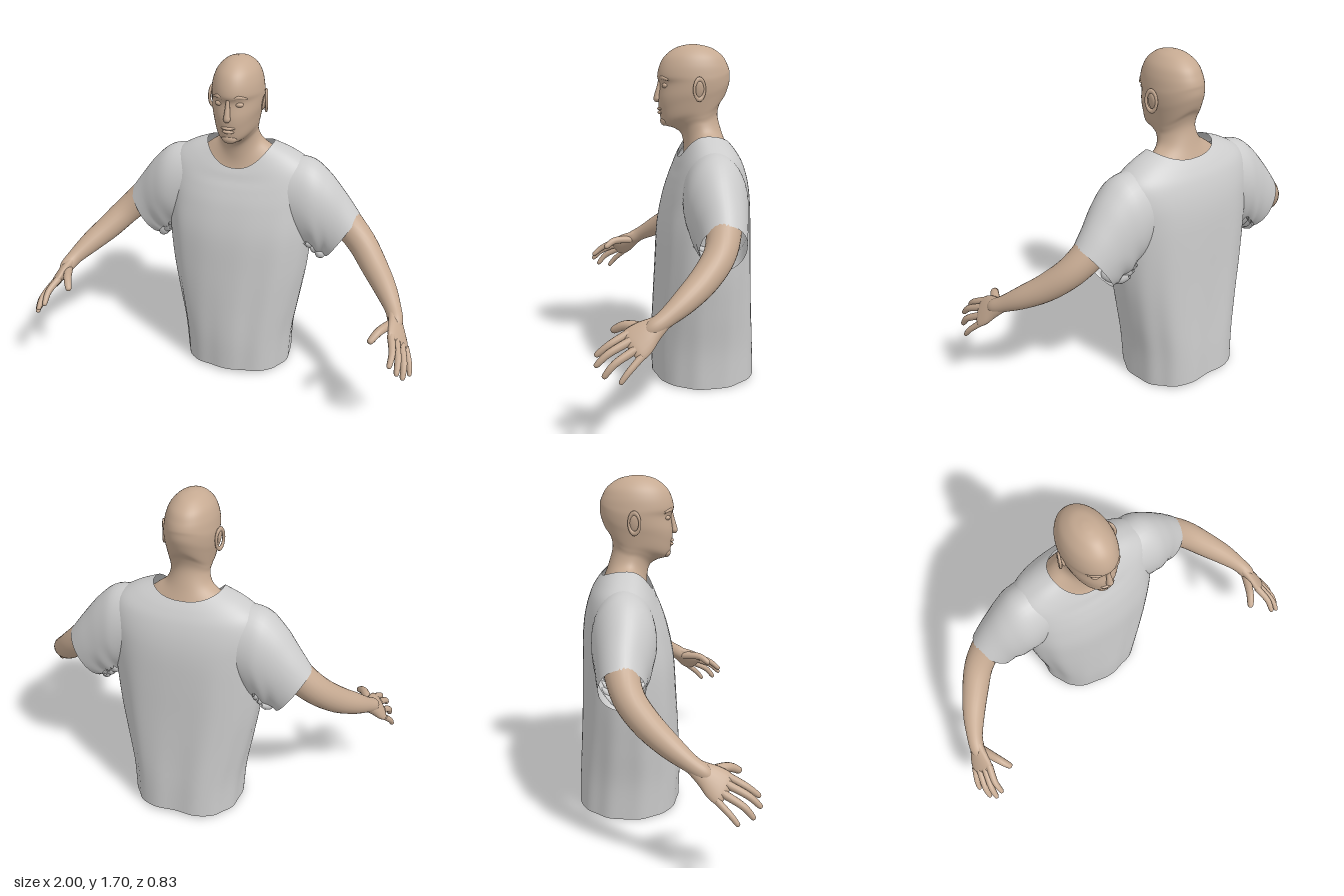
import * as THREE from 'three';

const skin = new THREE.MeshStandardMaterial({ color: 0xc6aa92, side: THREE.DoubleSide });
const cloth = new THREE.MeshStandardMaterial({ color: 0xcccccc, side: THREE.DoubleSide });

// Smoothly interpolate rows of section parameters
function dense(rows, steps) {
  const out = [];
  const at = i => rows[Math.max(0, Math.min(rows.length - 1, i))];
  for (let i = 0; i < rows.length - 1; i++) {
    for (let s = 0; s < steps; s++) {
      const t = s / steps;
      out.push(rows[i].map((b, k) => {
        const a = at(i - 1)[k], c = at(i + 1)[k], d = at(i + 2)[k];
        return b + 0.5 * t * (c - a + t * (2 * a - 5 * b + 4 * c - d + t * (3 * (b - c) + d - a)));
      }));
    }
  }
  out.push(rows[rows.length - 1]);
  return out;
}

// Closed-ring surface; point(row, rowIndex, angle) gives each vertex
function skinRings(name, material, rows, segs, point) {
  const pos = [], index = [];
  rows.forEach((row, i) => {
    for (let j = 0; j < segs; j++) {
      pos.push(...point(row, i, (j / segs) * Math.PI * 2));
      if (i === rows.length - 1) continue;
      const a = i * segs + j, b = i * segs + (j + 1) % segs;
      index.push(a, a + segs, b, b, a + segs, b + segs);
    }
  });
  const g = new THREE.BufferGeometry();
  g.setAttribute('position', new THREE.Float32BufferAttribute(pos, 3));
  g.setIndex(index);
  g.computeVertexNormals();
  const mesh = new THREE.Mesh(g, material);
  mesh.name = name;
  return mesh;
}

// Upright body from rows [halfWidth, zFront, zBack, yFront, ySide, yBack]
function body(name, material, rows, segs, power, fold = () => 0) {
  return skinRings(name, material, dense(rows, 6), segs, ([w, zf, zb, yf, ys, yb], i, a) => {
    const c = Math.cos(a), s = Math.sin(a);
    const bend = v => Math.sign(v) * Math.abs(v) ** power;
    const y = ys + ((s > 0 ? yf : yb) - ys) * s * s;
    const f = 1 + fold(a, y);
    return [w * bend(c) * f, y, (zf + zb) / 2 + (zf - zb) / 2 * bend(s) * f];
  });
}

// Limb from rows [x,y,z,radius] or [x,y,z, ux,uy,uz, thickness] (u = half-width vector)
function limb(name, material, rows, side = 1, segs = 16, ripple = () => 0) {
  const d = dense(rows, 5);
  const centre = r => new THREE.Vector3(r[0] * side, r[1], r[2]);
  return skinRings(name, material, d, segs, (r, i, a) => {
    const t = centre(d[Math.min(i + 1, d.length - 1)]).sub(centre(d[Math.max(i - 1, 0)])).normalize();
    const flat = r.length === 7;
    const u = flat ? new THREE.Vector3(r[3] * side, r[4], r[5])
      : new THREE.Vector3(side, 0, 0).cross(t).setLength(r[3]);
    const v = u.clone().cross(t).setLength(flat ? r[6] : r[3]);
    const k = 1 + ripple(a, i / (d.length - 1));
    return centre(r).addScaledVector(u, Math.cos(a) * k).addScaledVector(v, Math.sin(a) * k).toArray();
  });
}

function ball(name, position, scale, rz = 0) {
  const m = new THREE.Mesh(new THREE.SphereGeometry(1, 20, 14), skin);
  m.name = name;
  m.position.set(...position);
  m.scale.set(...scale);
  m.rotation.z = rz;
  return m;
}

export function createModel() {
  const model = new THREE.Group();
  model.name = 'figure';

  // Torso, neck and bald head in one skin
  model.add(body('torsoAndHead', skin, [
    [0.235, 0.05, -0.35, 0.09, 0.09, 0.09],
    [0.25, 0.06, -0.34, 0.3, 0.3, 0.3],
    [0.28, 0.05, -0.33, 0.6, 0.6, 0.6],
    [0.32, 0.03, -0.34, 0.9, 0.9, 0.9],
    [0.31, 0, -0.33, 1.03, 1.06, 1.04],
    [0.25, -0.025, -0.3, 1.09, 1.16, 1.13],
    [0.165, -0.045, -0.27, 1.14, 1.235, 1.2],
    [0.112, -0.05, -0.24, 1.2, 1.275, 1.28],
    [0.094, -0.038, -0.22, 1.265, 1.32, 1.36],
    [0.097, 0.0, -0.232, 1.295, 1.35, 1.42],
    [0.104, 0.055, -0.258, 1.315, 1.38, 1.46],
    [0.114, 0.073, -0.273, 1.38, 1.43, 1.5],
    [0.122, 0.078, -0.28, 1.44, 1.47, 1.53],
    [0.126, 0.07, -0.28, 1.51, 1.52, 1.56],
    [0.125, 0.083, -0.279, 1.55, 1.555, 1.58],
    [0.117, 0.072, -0.268, 1.605, 1.605, 1.61],
    [0.098, 0.045, -0.243, 1.652, 1.652, 1.652],
    [0.062, -0.005, -0.19, 1.69, 1.69, 1.69],
    [0.025, -0.06, -0.13, 1.706, 1.706, 1.706],
    [0.001, -0.095, -0.097, 1.709, 1.709, 1.709],
  ], 48, 1));

  // Face
  model.add(limb('nose', skin, [[0, 1.535, 0.07, 0.008], [0, 1.5, 0.075, 0.011], [0, 1.46, 0.083, 0.015],
    [0, 1.438, 0.084, 0.017], [0, 1.428, 0.075, 0.004]]));
  model.add(ball('upperLip', [0, 1.391, 0.068], [0.036, 0.009, 0.016]));
  model.add(ball('lowerLip', [0, 1.373, 0.066], [0.03, 0.01, 0.016]));
  model.add(ball('chin', [0, 1.332, 0.045], [0.04, 0.026, 0.024]));

  // Shirt body, open at neck and hem, with soft vertical folds
  model.add(body('shirtBody', cloth, [
    [0.285, 0.11, -0.41, 0.025, 0.008, 0.03],
    [0.297, 0.115, -0.405, 0.2, 0.2, 0.2],
    [0.33, 0.108, -0.395, 0.4, 0.4, 0.4],
    [0.362, 0.098, -0.387, 0.6, 0.6, 0.6],
    [0.38, 0.085, -0.382, 0.8, 0.8, 0.8],
    [0.385, 0.055, -0.375, 0.95, 0.95, 0.95],
    [0.385, 0.025, -0.36, 1.04, 1.07, 1.05],
    [0.355, 0.003, -0.335, 1.09, 1.165, 1.13],
    [0.27, -0.01, -0.305, 1.125, 1.225, 1.185],
    [0.172, -0.022, -0.275, 1.15, 1.265, 1.225],
  ], 96, 0.85, (a, y) => {
    const drop = THREE.MathUtils.clamp((1.1 - y) / 0.8, 0, 1);
    return drop * (Math.sin(a) < 0 ? -0.035 * Math.cos(6 * (a + Math.PI / 2)) * Math.sin(a) ** 2
      : 0.012 * Math.sin(9 * a)) + drop * 0.008 * Math.sin(13 * a + 3 * y);
  }));

  for (const side of [1, -1]) {
    const part = new THREE.Group();
    part.name = side > 0 ? 'leftSide' : 'rightSide';
    model.add(part);

    // Eye, brow and ear
    part.add(ball('eye', [side * 0.047, 1.508, 0.046], [0.024, 0.014, 0.018]));
    part.add(limb('brow', skin, [[0.018, 1.535, 0.07, 0.006], [0.05, 1.547, 0.063, 0.01],
      [0.085, 1.535, 0.035, 0.005]].map(([x, y, z, r]) => [x, y, z, 0, r, 0, r]), side, 10));
    part.add(ball('ear', [side * 0.13, 1.487, -0.108], [0.01, 0.047, 0.027], -side * 0.2));
    const rim = new THREE.Mesh(new THREE.TorusGeometry(0.028, 0.007, 8, 24), skin);
    rim.name = 'earRim';
    rim.scale.y = 1.75;
    rim.position.set(side * 0.138, 1.492, -0.112);
    rim.rotation.set(0, side * (Math.PI / 2 + 0.35), 0);
    part.add(rim);

    // Wide sleeve, open at the cuff, gathered underneath
    part.add(limb('sleeve', cloth, [
      [0.27, 0.99, -0.165, -0.02, 0.215, 0, 0.15],
      [0.365, 0.955, -0.165, 0.01, 0.235, 0, 0.155],
      [0.435, 0.905, -0.17, 0.03, 0.215, 0, 0.14],
      [0.495, 0.845, -0.175, 0.055, 0.17, 0, 0.122],
      [0.545, 0.787, -0.175, 0.08, 0.125, 0, 0.11],
    ], side, 40, (a, t) => {
      const under = Math.max(0, -Math.cos(a));
      return under * 0.05 * Math.sin(t * 16 + 3 * a) * Math.sin(Math.PI * t);
    }));
    // Bunched cloth in the armpit
    for (let k = 0; k < 3; k++) {
      part.add(limb('armpitFold', cloth, [
        [0.37 + k * 0.025, 0.77 - k * 0.025, -0.06 - k * 0.02, 0.008],
        [0.39 + k * 0.025, 0.735 - k * 0.025, -0.13, 0.026],
        [0.38 + k * 0.025, 0.735 - k * 0.02, -0.22, 0.024],
        [0.37 + k * 0.02, 0.78 - k * 0.025, -0.28, 0.008],
      ], side, 10));
    }

    // Arm
    part.add(limb('arm', skin, [
      [0.3, 1.07, -0.17, 0.09], [0.47, 0.95, -0.18, 0.09], [0.57, 0.855, -0.17, 0.08],
      [0.655, 0.775, -0.135, 0.073], [0.735, 0.695, -0.06, 0.067], [0.81, 0.628, 0.03, 0.056],
      [0.865, 0.573, 0.115, 0.041], [0.888, 0.54, 0.17, 0.037], [0.895, 0.52, 0.2, 0.025],
    ], side, 24));

    // Hand
    part.add(limb('palm', skin, [
      [0.87, 0.565, 0.12, 0.02, -0.03, -0.012, 0.03], [0.888, 0.535, 0.165, 0.026, -0.04, -0.018, 0.029],
      [0.905, 0.505, 0.21, 0.038, -0.053, -0.028, 0.027], [0.918, 0.478, 0.255, 0.043, -0.052, -0.036, 0.022],
      [0.923, 0.468, 0.275, 0.03, -0.036, -0.026, 0.012], [0.925, 0.465, 0.28, 0.002, -0.003, -0.002, 0.002],
    ], side, 20));
    const fingers = {
      indexFinger: [[0.884, 0.518, 0.275], [0.905, 0.478, 0.355], [0.902, 0.428, 0.418]],
      middleFinger: [[0.91, 0.493, 0.27], [0.935, 0.45, 0.36], [0.94, 0.395, 0.42]],
      ringFinger: [[0.935, 0.463, 0.25], [0.962, 0.415, 0.335], [0.967, 0.355, 0.387]],
      littleFinger: [[0.953, 0.438, 0.225], [0.982, 0.385, 0.28], [0.993, 0.337, 0.318]],
      thumb: [[0.873, 0.53, 0.185], [0.828, 0.535, 0.28], [0.79, 0.5, 0.345]],
    };
    for (const [name, [base, mid, tip]] of Object.entries(fingers)) {
      const r = name === 'thumb' ? 0.021 : name === 'littleFinger' ? 0.014 : 0.0165;
      const near = tip.map((v, k) => v + (mid[k] - v) * 0.15);
      part.add(limb(name, skin, [[...base, r * 1.15], [...mid, r], [...near, r * 0.75], [...tip, 0.001]], side, 12));
    }
  }
  return model;
}
